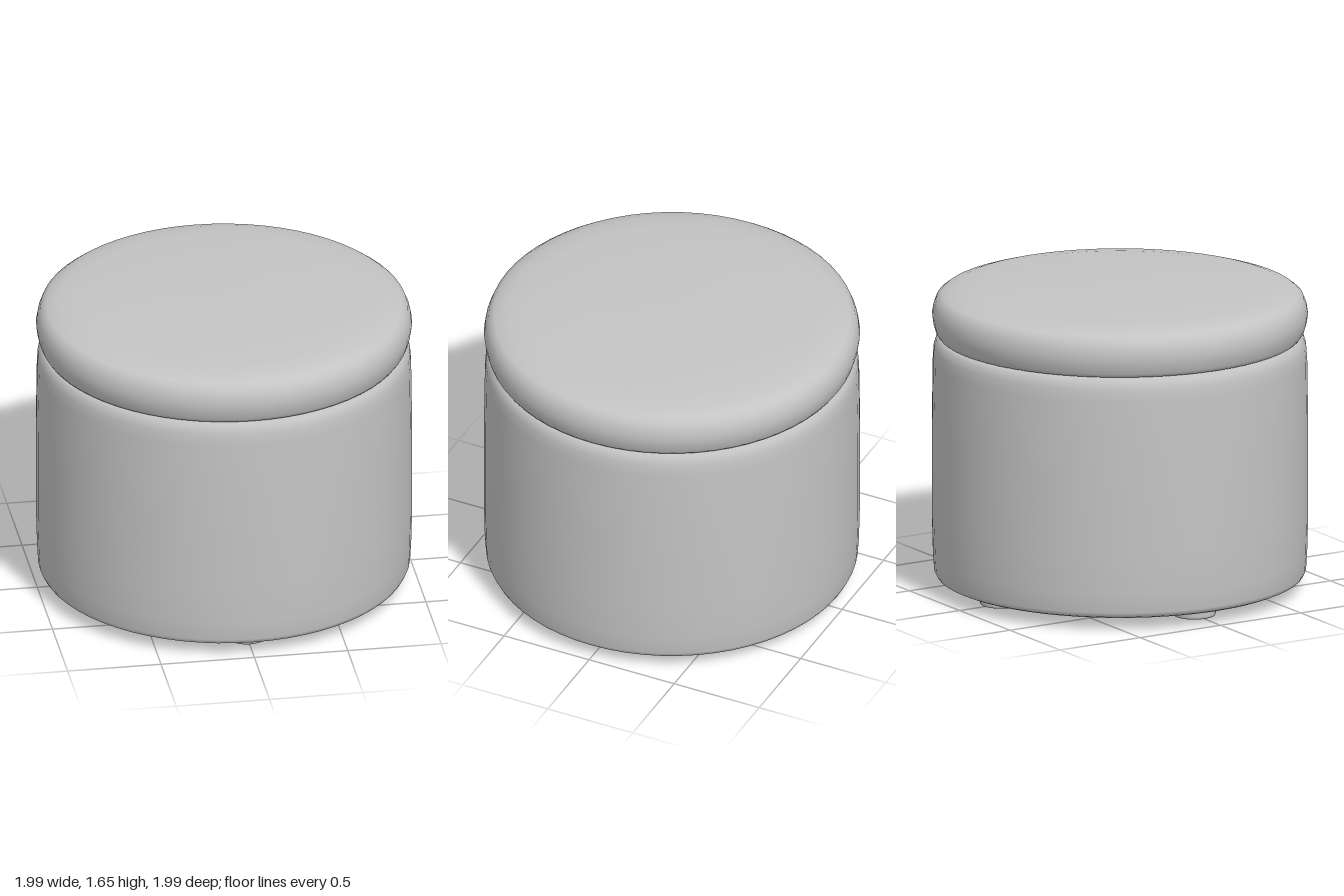
import * as THREE from 'three';

const fabric = new THREE.MeshStandardMaterial({ color: 0xc4c4c4 });
fabric.name = 'grey fabric';

// Solid of revolution from [radius, height] pairs, listed bottom to top
function turned(name, profile, segments) {
  const points = profile.map(([r, y]) => new THREE.Vector2(r, y));
  const mesh = new THREE.Mesh(new THREE.LatheGeometry(points, segments), fabric);
  mesh.name = name;
  return mesh;
}

export function createModel() {
  const group = new THREE.Group();
  group.name = 'storageOttoman';

  // Drum body with softly rounded rims and a flat underside
  group.add(turned('body', [
    [0, 0.065], [0.9, 0.065], [0.95, 0.066], [0.972, 0.076], [0.984, 0.1], [0.99, 0.2],
    [0.995, 0.4], [0.995, 0.9], [0.99, 1.25], [0.985, 1.315], [0.972, 1.355],
    [0.95, 1.372], [0.9, 1.374], [0, 1.374],
  ], 64));

  // Cushioned lid, bulging at the side and slightly domed on top
  group.add(turned('lid', [
    [0, 1.376], [0.93, 1.376], [0.962, 1.38], [0.975, 1.4], [0.988, 1.445], [0.994, 1.49],
    [0.986, 1.535], [0.97, 1.575], [0.94, 1.598], [0.88, 1.617], [0.77, 1.632],
    [0.5, 1.642], [0.2, 1.651], [0, 1.654],
  ], 64));

  // Four short round feet, one under each side
  for (let i = 0; i < 4; i++) {
    const a = (i * Math.PI) / 2;
    const foot = turned('foot' + (i + 1), [
      [0, 0], [0.1, 0], [0.11, 0.003], [0.114, 0.015], [0.114, 0.075],
    ], 24);
    foot.position.set(Math.cos(a) * 0.74, 0, Math.sin(a) * 0.74);
    group.add(foot);
  }

  return group;
}
